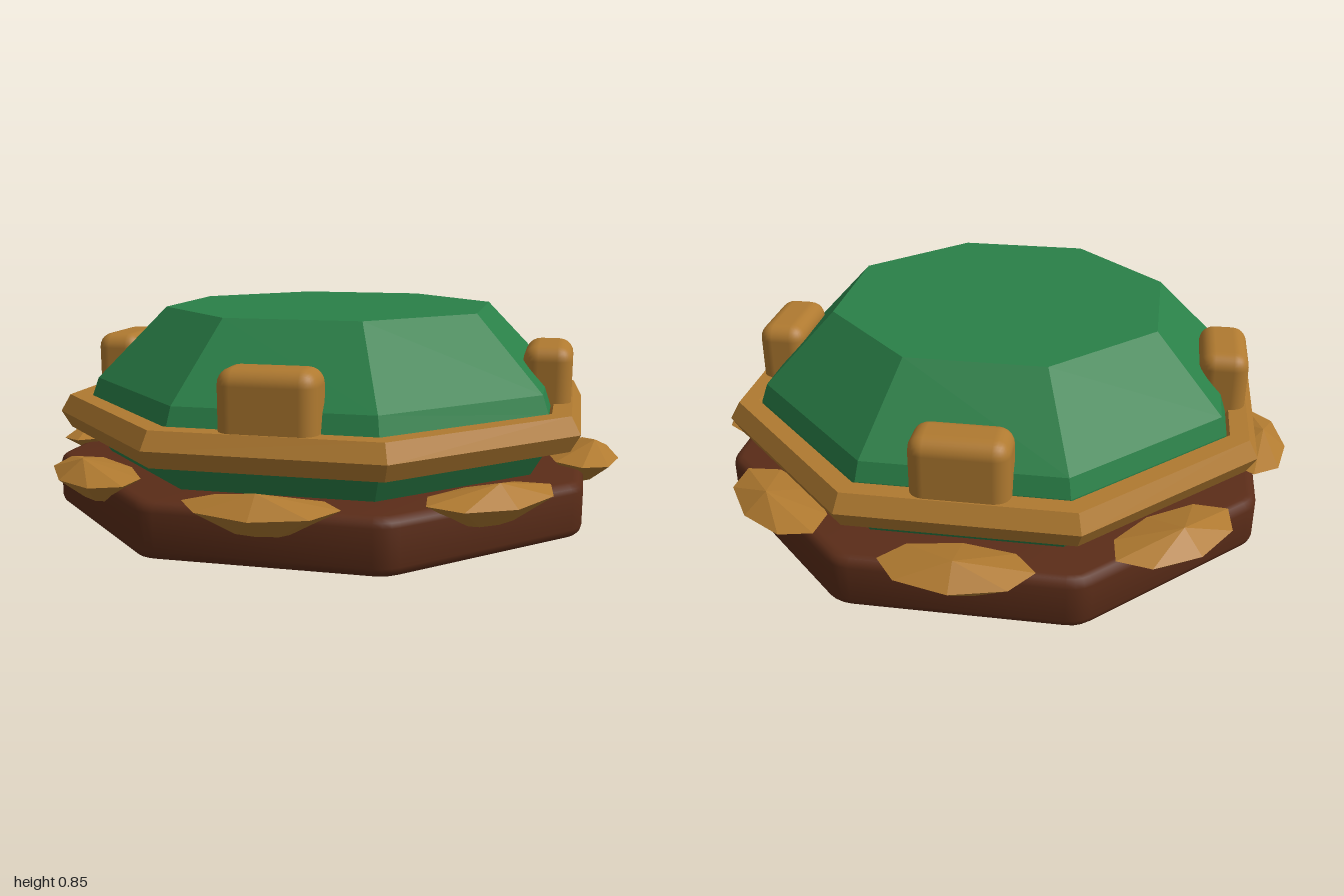
import * as THREE from 'three';
import { toCreasedNormals } from 'three/addons/utils/BufferGeometryUtils.js';
import { RoundedBoxGeometry } from 'three/addons/geometries/RoundedBoxGeometry.js';
import { ConvexGeometry } from 'three/addons/geometries/ConvexGeometry.js';

const EIGHTH = Math.PI / 8;
const COS = Math.cos(EIGHTH);

const material = (color, flatShading) => {
  const m = new THREE.MeshStandardMaterial({ color });
  m.flatShading = flatShading;
  return m;
};

export function createModel() {
  const group = new THREE.Group();
  const green = material(0x2a8048, true);
  const goldFlat = material(0xb07a30, true);
  const goldSmooth = material(0xb07a30, false);
  const brown = material(0x5a2c18, false);

  const add = (name, geometry, mat, parent = group) => {
    const mesh = new THREE.Mesh(geometry, mat);
    mesh.name = name;
    parent.add(mesh);
    return mesh;
  };

  // Octagonal cut gem: profile of apothem and height, bottom to top
  const profile = [[0, 0], [0.6, 0.135], [0.77, 0.44], [0.77, 0.55], [0.75, 0.61], [0.53, 0.85], [0, 0.85]]
    .map(([r, y]) => new THREE.Vector2(r / COS, y));
  add('gem', new THREE.LatheGeometry(profile, 8, EIGHTH), green);

  // Bevelled octagonal base with softened corners
  const corner = (i) => {
    const a = EIGHTH + (i * Math.PI) / 4;
    return new THREE.Vector2(Math.cos(a), Math.sin(a)).multiplyScalar(0.885 / COS);
  };
  const outline = new THREE.Shape();
  for (let i = 0; i < 8; i++) {
    const c = corner(i);
    const start = c.clone().lerp(corner(i - 1), 0.06);
    const end = c.clone().lerp(corner(i + 1), 0.06);
    if (i === 0) outline.moveTo(start.x, start.y);
    else outline.lineTo(start.x, start.y);
    outline.quadraticCurveTo(c.x, c.y, end.x, end.y);
  }
  outline.closePath();
  const bevel = 0.03;
  const slab = new THREE.ExtrudeGeometry(outline, {
    depth: 0.175 - 2 * bevel, curveSegments: 3,
    bevelThickness: bevel, bevelSize: bevel, bevelOffset: -bevel, bevelSegments: 3,
  });
  slab.rotateX(-Math.PI / 2);
  slab.translate(0, 0.175 + bevel, 0);
  add('base', toCreasedNormals(slab, 0.7), brown);

  // Hexagonal-section ring around the girdle
  const ring = new THREE.TorusGeometry(0.81 / COS, 0.065, 6, 8);
  ring.rotateX(Math.PI / 2);
  ring.rotateY(EIGHTH);
  ring.translate(0, 0.498, 0);
  add('girdleRing', ring, goldFlat);

  // Small faceted studs, one on each side of the base
  const points = [new THREE.Vector3(0, 0.41, 0.92)];
  for (let i = 0; i < 8; i++) {
    const c = Math.cos((i * Math.PI) / 4);
    const s = Math.sin((i * Math.PI) / 4);
    points.push(new THREE.Vector3(0.235 * c, 0.355 + 0.01 * c * c - 0.005 * s, 0.88 + 0.12 * s));
    points.push(new THREE.Vector3(0.09 * c, 0.285, 0.88 + 0.04 * s));
  }
  const stud = new ConvexGeometry(points);
  const studs = new THREE.Group();
  studs.name = 'studs';
  group.add(studs);
  for (let i = 0; i < 8; i++) add('stud', stud, goldFlat, studs).rotation.y = (i * Math.PI) / 4;

  // Rounded claws gripping the gem on the diagonals
  const claw = new RoundedBoxGeometry(0.3, 0.25, 0.16, 3, 0.05);
  claw.translate(0, 0.615, 0.755);
  const claws = new THREE.Group();
  claws.name = 'claws';
  group.add(claws);
  for (let i = 0; i < 4; i++) add('claw', claw, goldSmooth, claws).rotation.y = Math.PI / 4 + (i * Math.PI) / 2;

  return group;
}
